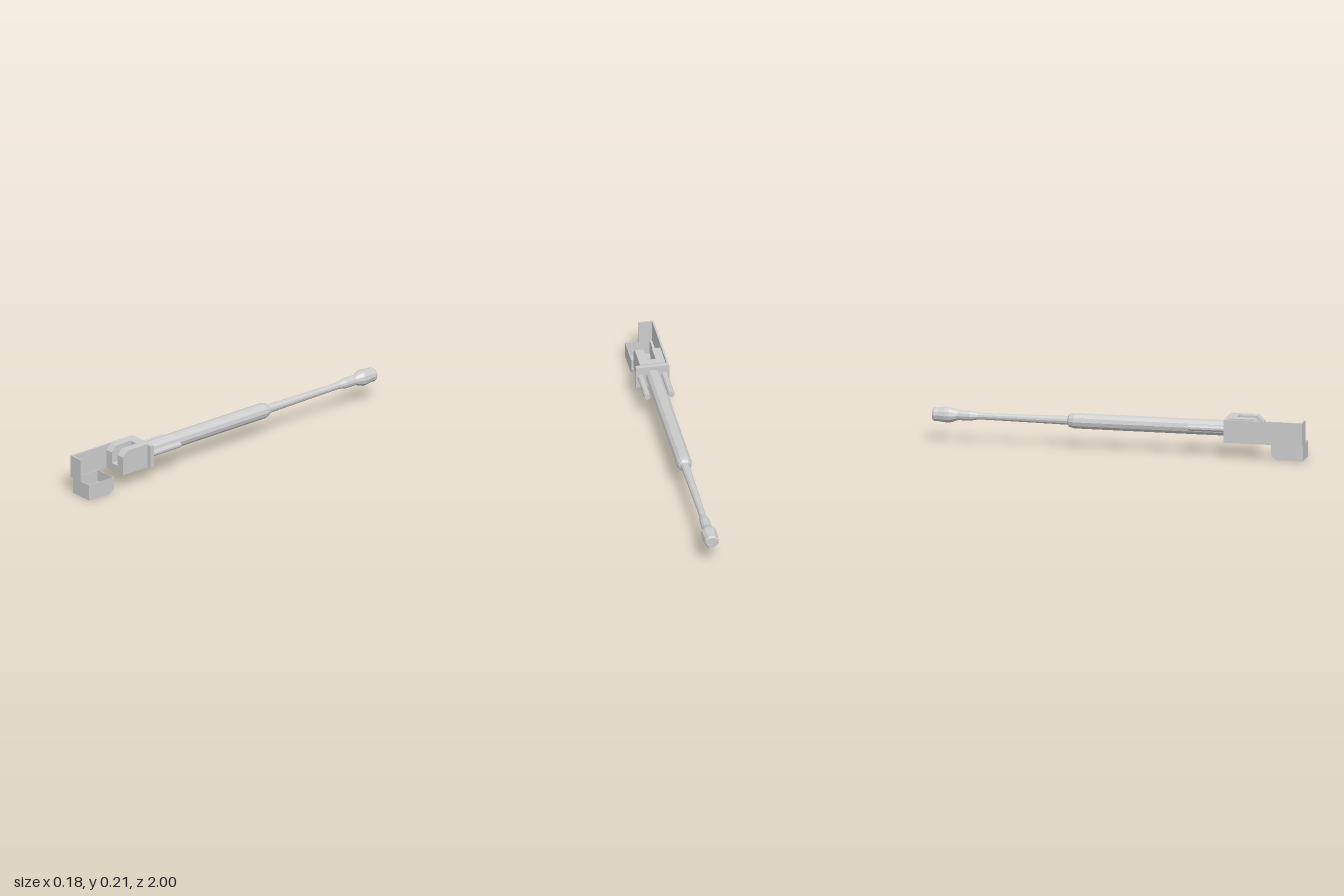
import * as THREE from 'three';

const mat = new THREE.MeshStandardMaterial({ color: 0xcccccc, flatShading: true, side: THREE.DoubleSide });

export function createModel() {
  const model = new THREE.Group();
  const add = (name, geometry) => {
    const mesh = new THREE.Mesh(geometry, mat);
    mesh.name = name;
    model.add(mesh);
    return mesh;
  };
  // box given by its limits on each axis
  const box = (name, x0, x1, y0, y1, z0, z1) =>
    add(name, new THREE.BoxGeometry(x1 - x0, y1 - y0, z1 - z0))
      .position.set((x0 + x1) / 2, (y0 + y1) / 2, (z0 + z1) / 2);
  // side profile of [z, y] points, extruded from x0 to x1
  const slab = (name, x0, x1, points) => {
    const shape = new THREE.Shape(points.map(([z, y]) => new THREE.Vector2(z, y)));
    const g = new THREE.ExtrudeGeometry(shape, { depth: x1 - x0, bevelEnabled: false });
    g.rotateY(-Math.PI / 2).translate(x1, 0, 0);
    add(name, g);
  };

  // barrel with thick sleeve, slim tube and flared muzzle: [radius, distance forward of z = 0.6]
  const profile = [
    [0, 0], [0.042, 0], [0.042, 0.84], [0.036, 0.865], [0.024, 0.875], [0.022, 1.0], [0.018, 1.33],
    [0.019, 1.36], [0.027, 1.4], [0.027, 1.465], [0.043, 1.51], [0.043, 1.53], [0.038, 1.57],
    [0.038, 1.59], [0.031, 1.6], [0, 1.6],
  ].map(([r, d]) => new THREE.Vector2(r, d));
  const barrel = add('barrel', new THREE.LatheGeometry(profile, 12));
  barrel.rotation.x = -Math.PI / 2;
  barrel.position.set(-0.005, 0.146, 0.6);

  // recoil rods beside the barrel
  for (const [name, x] of [['leftRecoilRod', 0.065], ['rightRecoilRod', -0.063]]) {
    const rod = add(name, new THREE.CylinderGeometry(0.017, 0.017, 0.205, 10));
    rod.rotation.x = Math.PI / 2;
    rod.position.set(x, 0.152, 0.4875);
  }

  // mounting collar
  box('collar', -0.09, 0.088, 0.085, 0.208, 0.578, 0.602);

  // breech block: two cheeks around a loading slot
  const cheek = [[0.6, 0.08], [0.77, 0.08], [0.77, 0.182], [0.738, 0.213], [0.6, 0.213]];
  slab('breechCheekRight', -0.073, -0.028, cheek);
  slab('breechCheekLeft', 0.018, 0.063, cheek);
  slab('breechSlot', -0.028, 0.018,
    [[0.6, 0.08], [0.77, 0.08], [0.77, 0.122], [0.64, 0.122], [0.64, 0.213], [0.6, 0.213]]);

  // recoil guard: long side plate with a flange at its end
  box('guardPlate', -0.09, -0.08, 0.085, 0.208, 0.6, 1);
  box('guardFlange', -0.08, -0.009, 0.085, 0.208, 0.992, 1);

  // open catch tray, thin walled, with a chamfered inner corner
  const t = 0.003;
  slab('trayShell', -0.071, 0.063, [
    [1, 0.086], [1, 0], [0.856, 0], [0.83, 0.022], [0.83, 0.086],
    [0.83 + t, 0.086], [0.83 + t, 0.023], [0.857, t], [1 - t, t], [1 - t, 0.086],
  ]);
  const wall = [[1, 0], [1, 0.086], [0.83, 0.086], [0.83, 0.022], [0.856, 0]];
  slab('trayWallRight', -0.071, -0.071 + t, wall);
  slab('trayWallLeft', 0.063 - t, 0.063, wall);

  return model;
}
